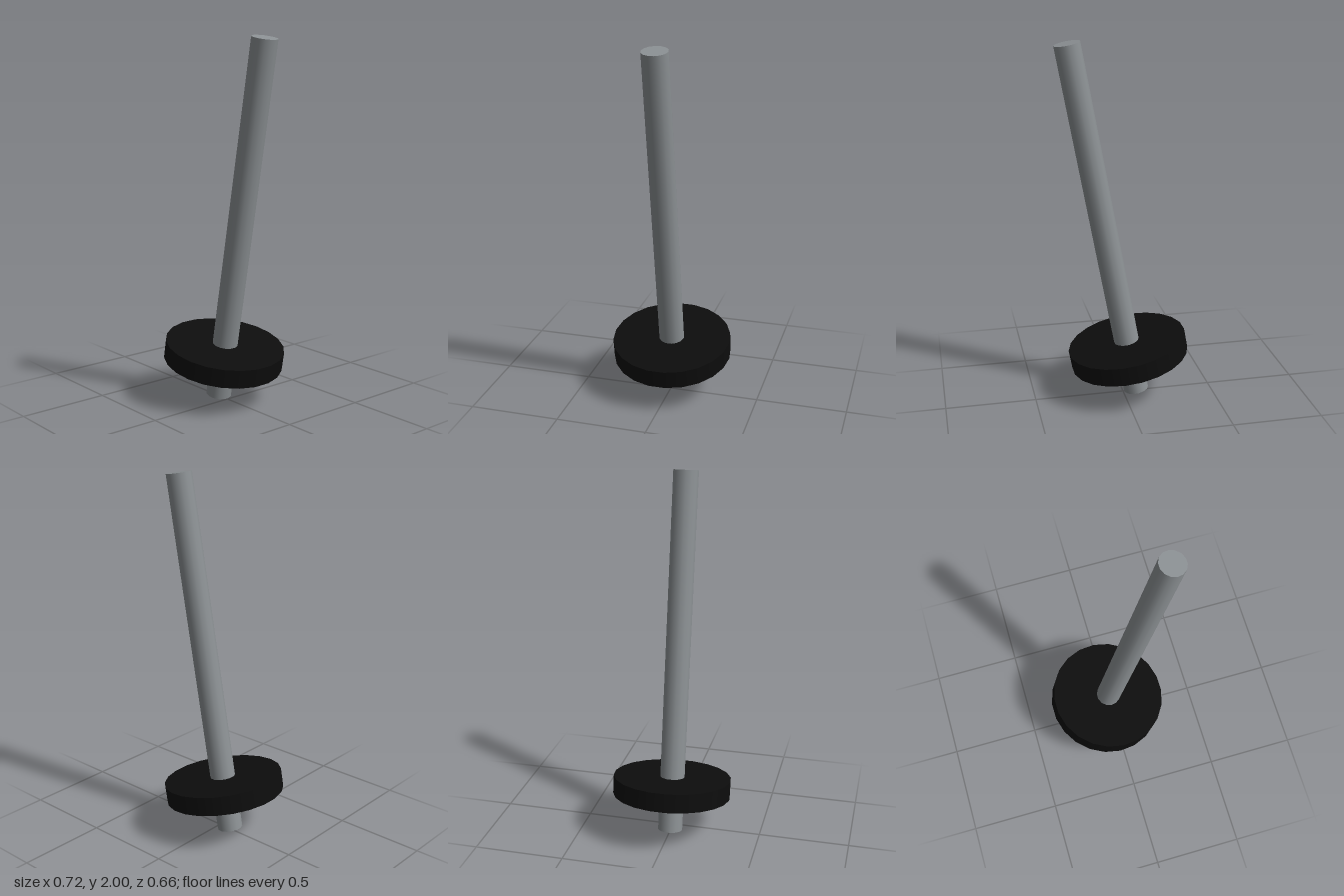
import * as THREE from 'three';

export function createModel() {
  const steel = new THREE.MeshStandardMaterial({ color: 0x8c9194 });
  steel.name = 'steelGrey';
  const rubber = new THREE.MeshStandardMaterial({ color: 0x0d0d0d });
  rubber.name = 'black';

  const addCylinder = (parent, name, radius, height, sides, y, material) => {
    const mesh = new THREE.Mesh(new THREE.CylinderGeometry(radius, radius, height, sides), material);
    mesh.name = name;
    mesh.position.y = y;
    parent.add(mesh);
  };

  // Rod and disc share one leaning axis, starting at the rod's lower end
  const lever = new THREE.Group();
  lever.name = 'leaningLever';
  lever.position.set(-0.076, 0.0127, 0);
  lever.rotation.z = -THREE.MathUtils.degToRad(10.5);
  addCylinder(lever, 'rod', 0.07, 2.008, 14, 1.004, steel);
  addCylinder(lever, 'disc', 0.33, 0.104, 22, 0.259, rubber);

  const model = new THREE.Group();
  model.name = 'lever';
  model.add(lever);
  return model;
}
